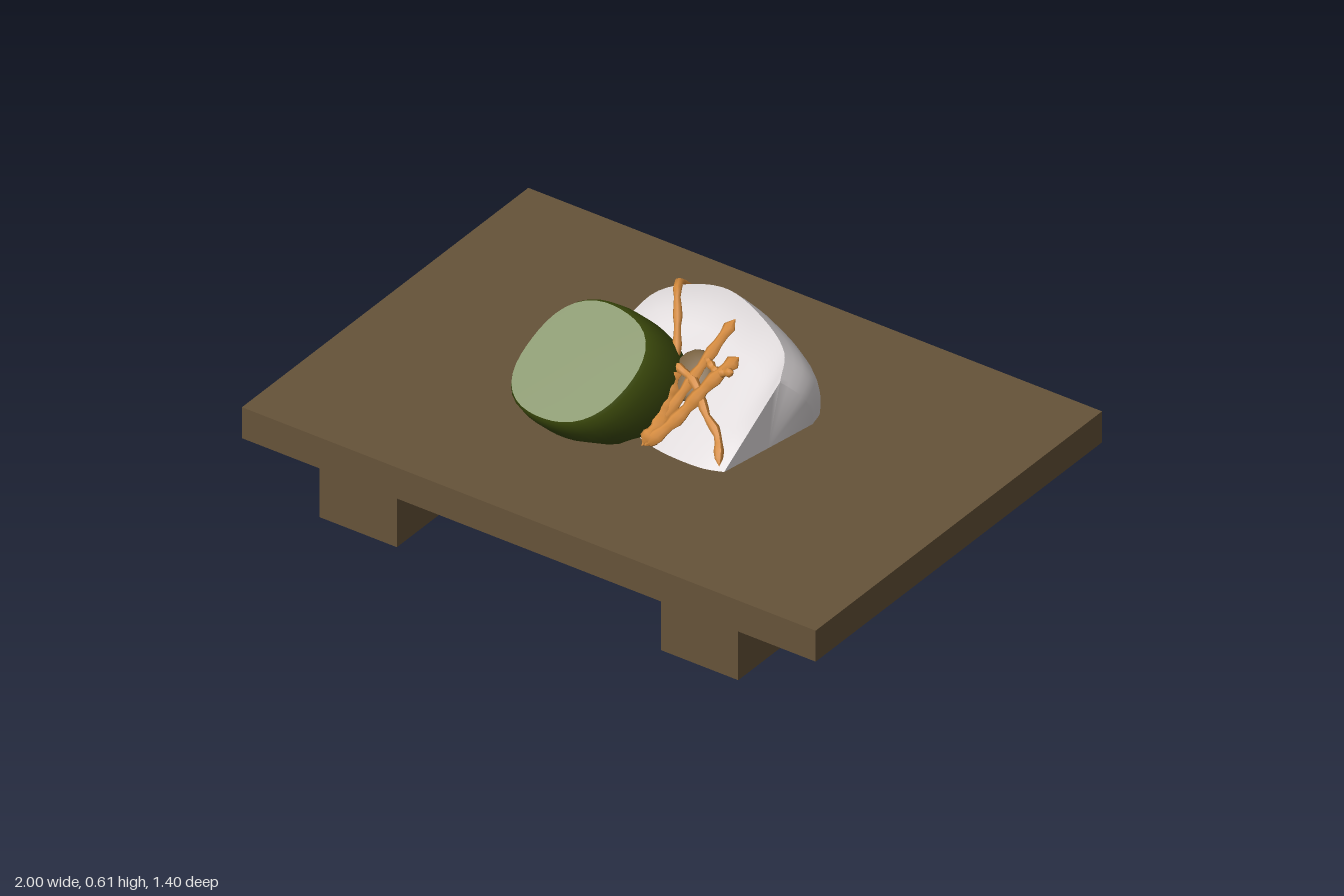
import * as THREE from 'three';
import { toCreasedNormals } from 'three/addons/utils/BufferGeometryUtils.js';

const V = (x, y, z) => new THREE.Vector3(x, y, z);
const DECK = 0.27; // height of the board's top

const paint = (name, color, extra = {}) => {
  const m = new THREE.MeshStandardMaterial({ color, ...extra });
  m.name = name;
  return m;
};

// Skin over rows of points, each row having the same length
function skin(rows, crease = 0.7) {
  const n = rows[0].length, index = [];
  for (let j = 0; j < rows.length - 1; j++) {
    for (let i = 0; i < n - 1; i++) {
      const a = j * n + i, b = a + n;
      index.push(a, b, b + 1, a, b + 1, a + 1);
    }
  }
  const g = new THREE.BufferGeometry().setFromPoints(rows.flat());
  g.setIndex(index);
  return toCreasedNormals(g, crease);
}

// Tube along a path, closed to a point at both ends
function strandGeometry(points, radius) {
  const steps = 16, sides = 7;
  const curve = new THREE.CatmullRomCurve3(points);
  const g = new THREE.TubeGeometry(curve, steps, radius, sides, false);
  const p = g.attributes.position;
  for (let i = 0; i <= steps; i++) {
    const c = curve.getPointAt(i / steps);
    const k = i === 0 || i === steps ? 0 : 1 + 0.2 * Math.sin(i * 1.9);
    for (let s = 0; s <= sides; s++) {
      const id = i * (sides + 1) + s;
      const q = V().fromBufferAttribute(p, id).sub(c).multiplyScalar(k).add(c);
      p.setXYZ(id, q.x, q.y, q.z);
    }
  }
  g.computeVertexNormals();
  return g;
}

export function createModel() {
  const model = new THREE.Group();
  const wood = paint('wood', 0x665339);
  const rice = paint('rice white', 0xdcd7d8, { side: THREE.DoubleSide });
  const peel = paint('peel green', 0x3c4a0c);
  const flesh = paint('flesh green', 0x8c9a72);
  const orange = paint('orange', 0xd2893c);
  const brown = paint('brown', 0x77603f);
  const add = (name, geometry, material) => {
    const mesh = new THREE.Mesh(geometry, material);
    mesh.name = name;
    model.add(mesh);
    return mesh;
  };

  // Serving board on two long feet
  add('board', new THREE.BoxGeometry(2, 0.105, 1.4), wood).position.y = 0.2175;
  for (const side of [-1, 1]) {
    add('foot', new THREE.BoxGeometry(0.27, 0.165, 1.4), wood).position.set(side * 0.595, 0.0825, 0);
  }

  // Rice wedge: stations from right to left, each with back foot, ridge and front foot
  const stations = [
    [V(-0.32, DECK, 0.04), V(-0.31, 0.30, 0.06), V(-0.28, DECK, 0.08)],
    [V(-0.28, DECK, -0.10), V(-0.24, 0.41, -0.05), V(-0.18, DECK, 0.10)],
    [V(-0.18, DECK, -0.24), V(-0.14, 0.55, -0.13), V(-0.06, DECK, 0.14)],
    [V(0.03, DECK, -0.33), V(0.05, 0.61, -0.175), V(0.03, DECK, 0.18)],
    [V(0.20, DECK, -0.31), V(0.20, 0.585, -0.15), V(0.12, DECK, 0.20)],
    [V(0.345, DECK, -0.24), V(0.32, 0.53, -0.10), V(0.25, DECK, 0.20)],
    [V(0.37, DECK, -0.17), V(0.355, 0.48, -0.03), V(0.31, DECK, 0.18)],
  ];
  const rails = [0, 1, 2].map((k) =>
    new THREE.CatmullRomCurve3(stations.map((s) => s[k])).getPoints(36));
  const riceRows = [];
  const steps = 8;
  for (let j = 0; j <= steps * 2; j++) {
    const t = (j % steps) / steps;
    const row = rails[0].map((back, i) => {
      const ridge = rails[1][i], front = rails[2][i];
      if (j < steps) { // bulging back
        const p = back.clone().lerp(ridge, t);
        const out = V(back.x, 0, back.z).normalize();
        const swell = 0.14 * (ridge.y - DECK) * Math.sin(Math.PI * t);
        return p.addScaledVector(out, swell).add(V(0, swell * 0.3, 0));
      }
      const s = j === steps * 2 ? 1 : t; // dished front
      const p = ridge.clone().lerp(front, s);
      const dip = 0.1 * (ridge.y - DECK) * Math.sin(Math.PI * Math.sqrt(s)) * Math.sin(Math.PI * i / 36);
      return p.add(V(0, -dip * 0.7, -dip * 0.7));
    });
    // close both ends
    const end = (i) => rails[0][i].clone().lerp(rails[2][i], 0.5);
    riceRows.push([end(0), ...row, end(36)]);
  }
  add('riceWedge', skin(riceRows, 0.6), rice);

  // Cut vegetable: tilted face and a peel that leans back into the rice
  const n = V(-0.15, 0.85, 0.5).normalize();
  const u = V(1, 0, 0).addScaledVector(n, -n.x).normalize();
  const v = n.clone().cross(u);
  const centre = V(-0.175, 0.475, 0.21);
  const axis = V(-0.22, 0.67, 0.66).normalize();
  const ring = (depth, scale) => {
    const pts = [];
    for (let i = 0; i <= 40; i++) {
      const a = (i % 40) / 40 * Math.PI * 2;
      const r = 0.21 * scale * (1 + 0.03 * Math.cos(4 * a - 2.6) + 0.015 * Math.cos(3 * a));
      const p = centre.clone().addScaledVector(axis, -depth)
        .addScaledVector(u, r * Math.cos(a)).addScaledVector(v, r * Math.sin(a));
      p.y = Math.max(p.y, DECK + 0.002);
      pts.push(p);
    }
    return pts;
  };
  const hub = Array(41).fill(centre.clone().addScaledVector(n, 0.006));
  add('cutFace', skin([hub, ring(0, 0.97)]), flesh);
  add('peel', skin([ring(0, 0.97), ring(0.012, 1.01), ring(0.06, 1.05), ring(0.12, 1.05),
    ring(0.18, 1), ring(0.25, 0.88)], 0.9), peel);

  // Orange shreds lying over the rice
  const shreds = [
    [0.012, [V(-0.105, 0.43, -0.275), V(-0.10, 0.51, -0.235), V(-0.085, 0.585, -0.15),
      V(-0.03, 0.53, -0.07), V(0.03, 0.45, 0.02)]],
    [0.016, [V(0.15, 0.58, -0.10), V(0.12, 0.48, 0.01), V(0.08, 0.36, 0.13), V(0.05, 0.28, 0.22)]],
    [0.019, [V(0.22, 0.52, -0.02), V(0.17, 0.45, 0.06), V(0.12, 0.36, 0.14), V(0.06, 0.285, 0.22)]],
    [0.013, [V(0.03, 0.46, 0.04), V(0.12, 0.44, 0.06), V(0.20, 0.38, 0.11), V(0.25, 0.35, 0.13), V(0.30, 0.29, 0.19)]],
    [0.012, [V(0.12, 0.49, 0.0), V(0.18, 0.48, 0.03), V(0.235, 0.50, 0.03)]],
    [0.026, [V(0.04, 0.45, 0.05), V(0.06, 0.38, 0.11), V(0.07, 0.32, 0.17), V(0.05, 0.285, 0.215)]],
  ];
  for (const [radius, path] of shreds) add('orangeShred', strandGeometry(path, radius), orange);

  // Brown filling between the shreds
  const filling = add('filling', new THREE.SphereGeometry(1, 16, 10), brown);
  filling.scale.set(0.065, 0.02, 0.08);
  filling.rotation.x = 0.75;
  filling.position.set(0.09, 0.435, 0.03);

  return model;
}
